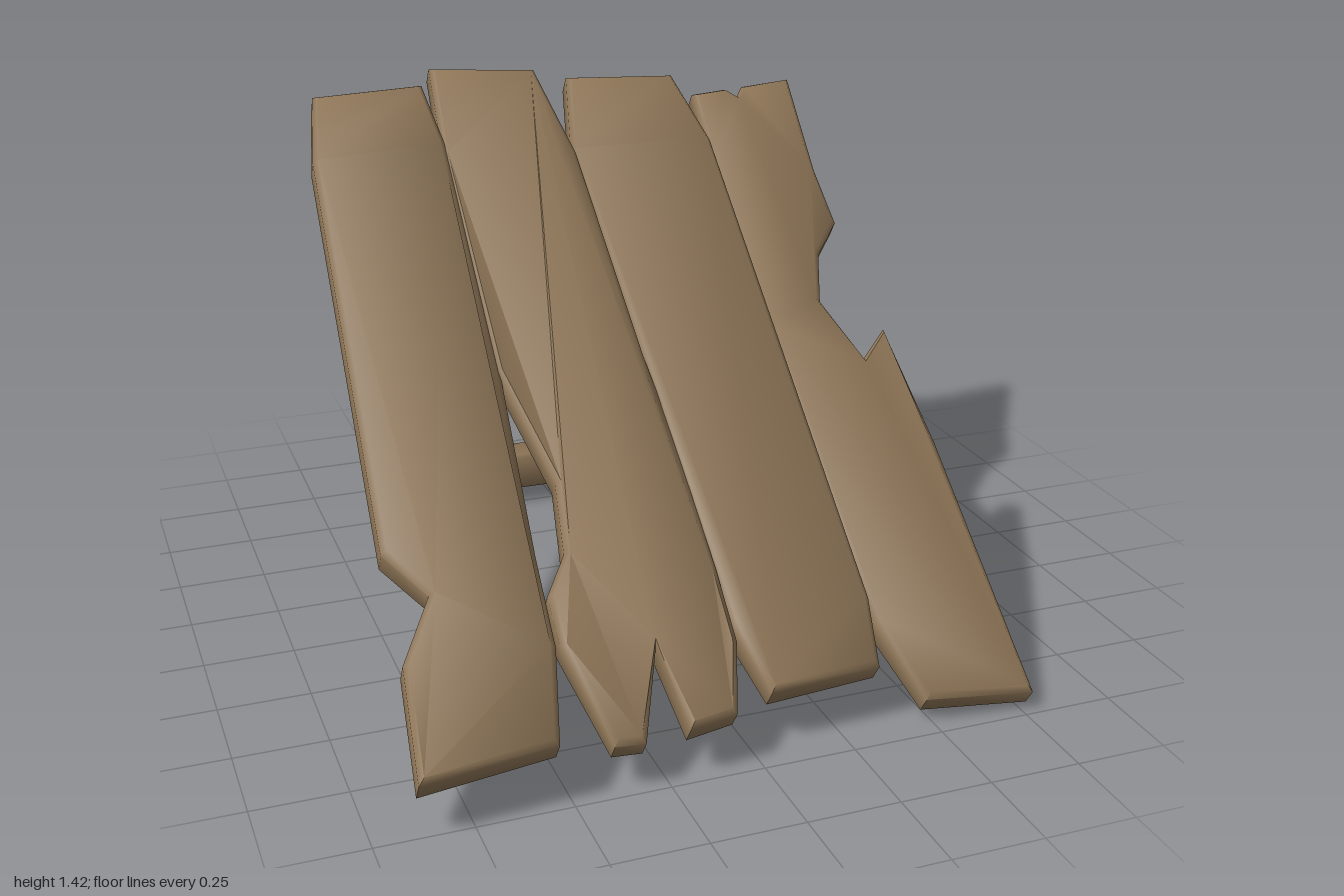
import * as THREE from 'three';
import { toCreasedNormals } from 'three/addons/utils/BufferGeometryUtils.js';

const wood = new THREE.MeshStandardMaterial({ color: 0x8b7355 });
wood.name = 'weathered wood';

// Plank: outline given in plan as [x, z], laid on a slope that crosses z = 0 at the given height;
// sag = [depth, centre z, half width] lets the worn part dip below the slope
function plank(name, outline, height, slope, thick, sag = [0, 0, 1]) {
  const angle = Math.atan(slope), bevel = 0.015;
  const pts = outline.map(([x, z]) => new THREE.Vector2(x, -z * 0.975 / Math.cos(angle)));
  const geo = new THREE.ExtrudeGeometry(new THREE.Shape(pts), {
    depth: thick - 2 * bevel, bevelEnabled: true, bevelSegments: 1,
    bevelSize: bevel, bevelThickness: bevel, bevelOffset: -bevel,
  });
  geo.translate(0, 0, -thick / 2 + bevel);
  geo.rotateX(angle - Math.PI / 2);
  geo.translate(0, height, 0);
  const p = geo.attributes.position, [depth, centre, width] = sag;
  for (let i = 0; i < p.count; i++) {
    const dip = depth * Math.max(0, 1 - Math.abs(p.getZ(i) - centre) / width);
    p.setY(i, p.getY(i) - dip);
  }
  const mesh = new THREE.Mesh(toCreasedNormals(geo, 0.9), wood);
  mesh.name = name;
  return mesh;
}

// Beam: chamfered square section swept along a bent path; square = 1 gives sharp corners
function beam(name, path, size, up, square = 0.68) {
  const P = path.map((p) => new THREE.Vector3(...p));
  const h = size / 2, c = h * square;
  const section = [[h, -c], [h, c], [c, h], [-c, h], [-h, c], [-h, -c], [-c, -h], [c, -h]];
  const n = section.length, pos = [], idx = [];
  P.forEach((p, i) => {
    const dir = P[Math.min(i + 1, P.length - 1)].clone().sub(P[Math.max(i - 1, 0)]).normalize();
    const u = new THREE.Vector3().crossVectors(new THREE.Vector3(...up), dir).normalize();
    const v = new THREE.Vector3().crossVectors(dir, u);
    for (const [a, b] of section) {
      pos.push(...p.clone().addScaledVector(u, a).addScaledVector(v, b).toArray());
    }
  });
  for (let i = 0; i < P.length - 1; i++) {
    for (let j = 0; j < n; j++) {
      const a = i * n + j, b = i * n + (j + 1) % n;
      idx.push(a, b, b + n, a, b + n, a + n);
    }
  }
  const last = (P.length - 1) * n;
  for (let j = 1; j < n - 1; j++) {
    idx.push(0, j + 1, j, last, last + j, last + j + 1);
  }
  const geo = new THREE.BufferGeometry();
  geo.setAttribute('position', new THREE.Float32BufferAttribute(pos, 3));
  geo.setIndex(idx);
  const mesh = new THREE.Mesh(toCreasedNormals(geo, 0.9), wood);
  mesh.name = name;
  return mesh;
}

export function createModel() {
  const model = new THREE.Group();
  model.name = 'leaningPlankBoard';

  // Four broken planks forming the sloping face, nearly touching along their edges
  const planks = new THREE.Group();
  planks.name = 'planks';
  planks.add(
    plank('rightOuterPlank', [
      [-0.70, -0.905], [-0.36, -0.92], [-0.345, -0.7], [-0.385, 0], [-0.44, 0.5], [-0.465, 0.75],
      [-0.53, 0.985], [-0.885, 1.015], [-0.85, 0.73], [-0.74, 0.56], [-0.83, 0.43], [-0.75, -0.68],
    ], 0.765, 0.655, 0.09, [0.065, 0.3, 0.6]),
    plank('rightInnerPlank', [
      [-0.32, -0.985], [0.01, -0.955], [0.05, -0.65], [0.035, 0], [0.045, 0.15], [0.025, 0.6],
      [0.005, 0.8], [-0.06, 0.965], [-0.19, 0.98], [-0.21, 0.78], [-0.31, 0.99], [-0.39, 0.985],
      [-0.45, 0.74], [-0.44, 0.6], [-0.36, 0.49], [-0.32, 0.29], [-0.395, 0], [-0.36, -0.68],
    ], 0.747, 0.67, 0.085, [0.055, 0.33, 0.4]),
    plank('leftInnerPlank', [
      [0.12, -0.965], [0.47, -0.945], [0.51, -0.7], [0.45, 0.2], [0.415, 0.72],
      [0.37, 0.89], [0.06, 0.905], [0.015, 0.73], [0.03, 0.2], [0.05, -0.7],
    ], 0.707, 0.667, 0.09),
    plank('leftOuterPlank', [
      [0.53, -0.91], [0.65, -0.92], [0.68, -0.89], [0.71, -0.925], [0.88, -0.94], [0.83, -0.6],
      [0.82, -0.41], [0.72, -0.31], [0.66, -0.16], [0.72, 0.03], [0.82, -0.05], [0.82, 0.3],
      [0.78, 0.985], [0.48, 0.955], [0.42, 0.75], [0.425, 0.4], [0.47, -0.1], [0.505, -0.7],
    ], 0.668, 0.67, 0.085),
  );
  model.add(planks);

  // Rear trestle: cross bar, bowed foot, crossed legs and long brace
  const Y = [0, 1, 0], Z = [0, 0, 1];
  const trestle = new THREE.Group();
  trestle.name = 'trestle';
  trestle.add(
    beam('topBar', [[-0.71, 1.12, -0.69], [0.70, 1.12, -0.835]], 0.115, Y),
    beam('footBar', [
      [-0.465, 0.107, -0.94], [-0.34, 0.107, -0.88], [-0.12, 0.107, -0.795],
      [0.12, 0.107, -0.79], [0.32, 0.107, -0.85], [0.46, 0.107, -0.92],
    ], 0.117, Y, 0.85),
    beam('bentLeg', [[-0.35, 0.13, -0.875], [-0.12, 0.56, -0.785], [0.01, 0.67, -0.765],
      [0.18, 0.85, -0.745], [0.4, 1.1, -0.79]], 0.105, Z),
    beam('straightLeg', [[0.335, 0.13, -0.855], [0, 0.63, -0.77], [-0.14, 0.85, -0.73],
      [-0.3, 1.1, -0.7]], 0.105, Z),
    beam('brace', [[-0.05, 0.1, 0.72], [-0.01, 0.36, -0.32], [0.04, 0.61, -0.86]], 0.108, Y),
  );
  model.add(trestle);
  return model;
}
